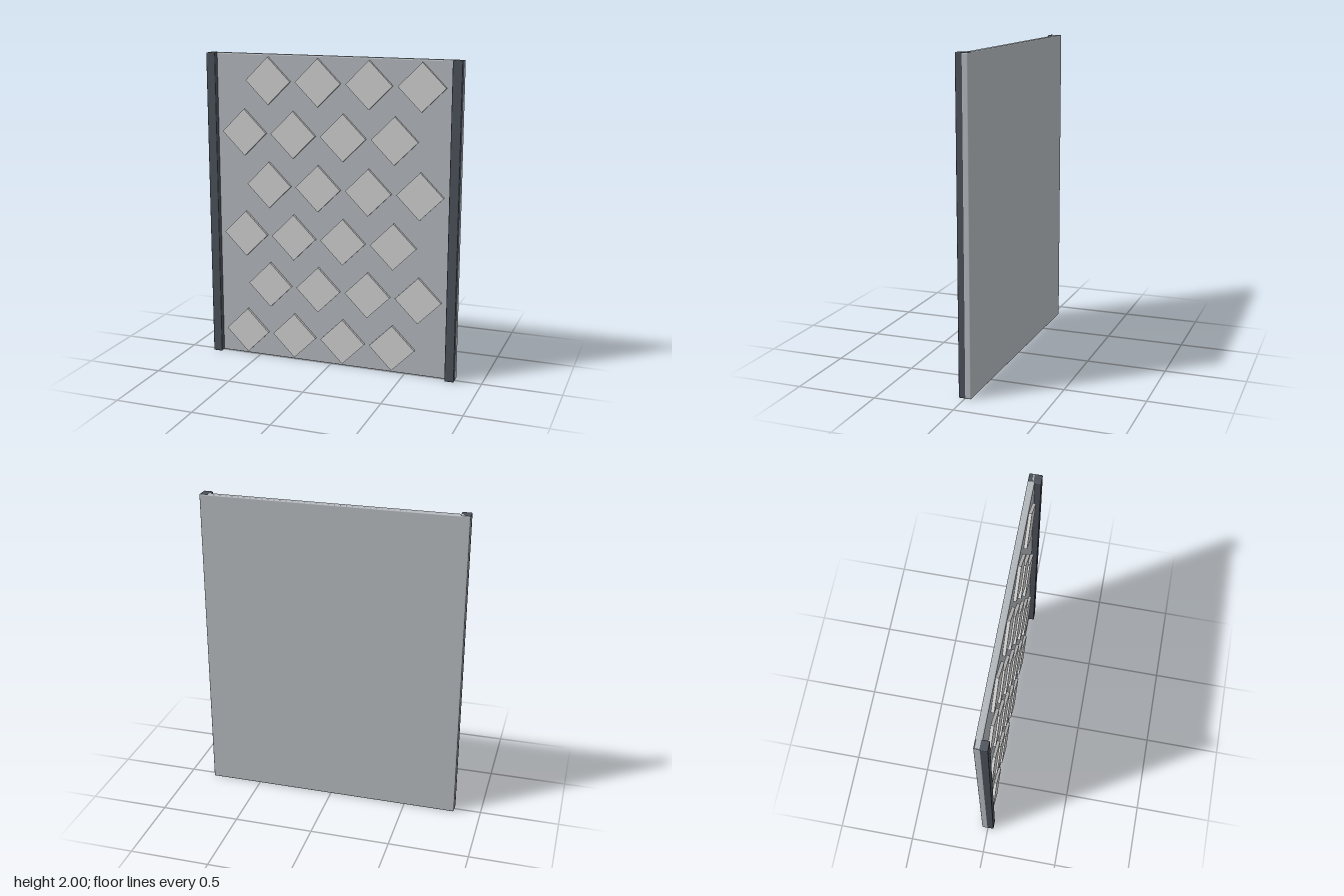
import * as THREE from 'three';
import { RoundedBoxGeometry } from 'three/addons/geometries/RoundedBoxGeometry.js';

const HEIGHT = 2, WIDTH = 1.66;
const PITCH = 1 / 3;           // spacing of the tiles in both directions
const HALF_DIAGONAL = 0.15;    // centre to corner of a tile

const paint = (color) => new THREE.MeshStandardMaterial({ color });

export function createModel() {
  const group = new THREE.Group();
  const panelPaint = paint(0xb0b5ba);
  const railPaint = paint(0x494e57);
  const tilePaint = paint(0xcccccc);

  const add = (name, geometry, material, x, y, z) => {
    const mesh = new THREE.Mesh(geometry, material);
    mesh.name = name;
    mesh.position.set(x, y, z);
    group.add(mesh);
    return mesh;
  };

  // Flat panel with softened edges, a hair proud of the rails behind and beside
  add('panel', new RoundedBoxGeometry(WIDTH + 0.002, HEIGHT, 0.041, 2, 0.008),
    panelPaint, 0, HEIGHT / 2, -0.0195);

  // Upright rails along both sides
  const railGeometry = new RoundedBoxGeometry(0.06, HEIGHT, 0.078, 2, 0.006);
  for (const side of [-1, 1]) {
    add(side > 0 ? 'leftRail' : 'rightRail', railGeometry, railPaint,
      side * (WIDTH / 2 - 0.03), HEIGHT / 2, 0);
  }

  // Staggered rows of raised diamond tiles
  const edge = HALF_DIAGONAL * Math.SQRT2;
  const tileGeometry = new THREE.BoxGeometry(edge, edge, 0.03).rotateZ(Math.PI / 4);
  for (let row = 0; row < 6; row++) {
    const shift = row % 2 ? PITCH / 4 : -PITCH / 4;
    for (let col = 0; col < 4; col++) {
      add('diamondTile', tileGeometry, tilePaint,
        (col - 1.5) * PITCH + shift, (row + 0.5) * PITCH, 0.005);
    }
  }
  return group;
}
